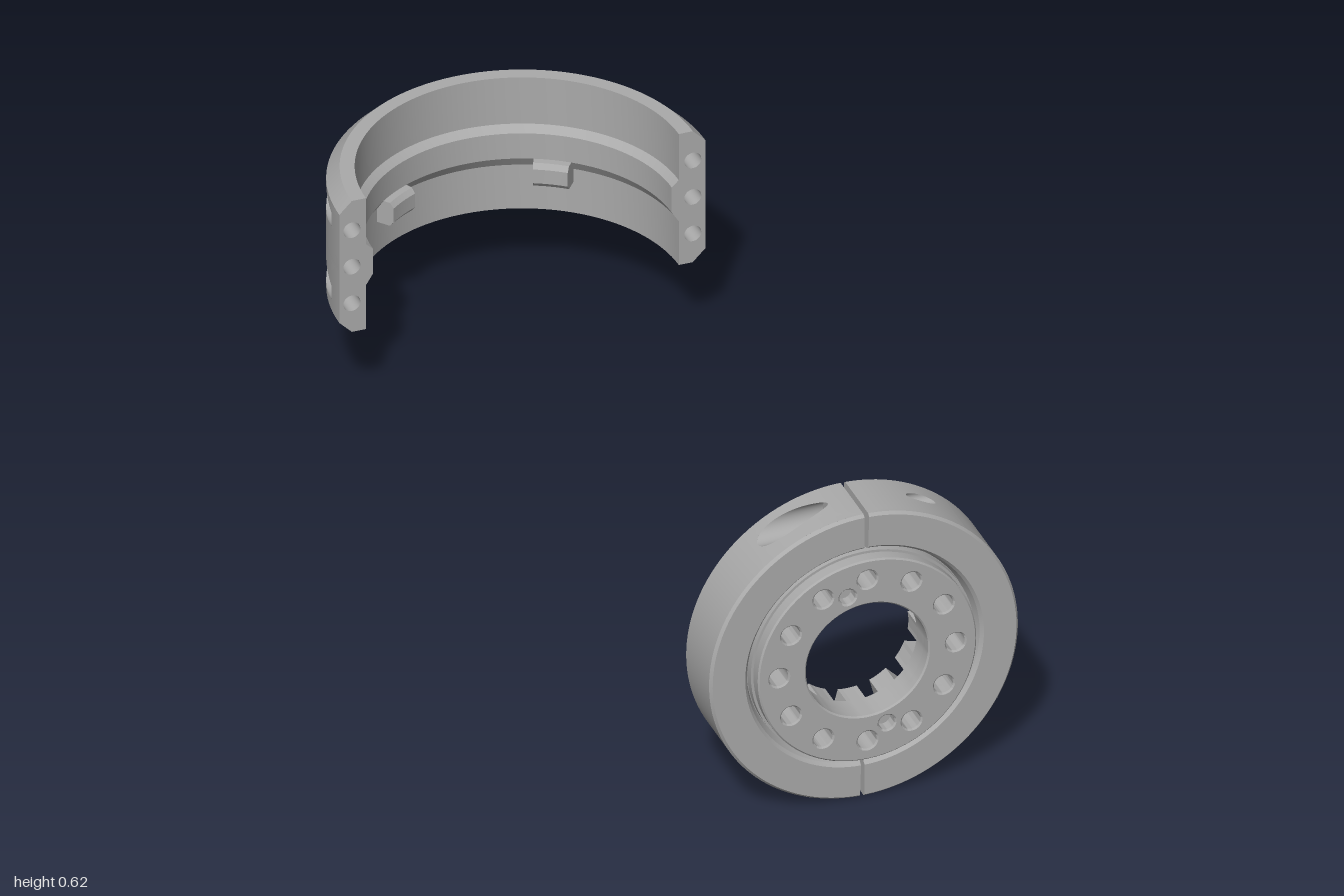
import * as THREE from 'three';
import { toCreasedNormals } from 'three/addons/utils/BufferGeometryUtils.js';

const steel = new THREE.MeshStandardMaterial({ color: 0xaaaaaa, side: THREE.DoubleSide });
steel.name = 'grey steel';
const TAU = Math.PI * 2;

function add(group, name, geometry) {
  const mesh = new THREE.Mesh(geometry, steel);
  mesh.name = name;
  group.add(mesh);
  return mesh;
}

// Surface from a rule f(u, v) -> [x, y, z]
function surface(nu, nv, f) {
  const pos = [], idx = [];
  for (let i = 0; i <= nu; i++) for (let j = 0; j <= nv; j++) pos.push(...f(i / nu, j / nv));
  for (let i = 0; i < nu; i++) for (let j = 0; j < nv; j++) {
    const a = i * (nv + 1) + j, b = a + nv + 1;
    idx.push(a, b, a + 1, b, b + 1, a + 1);
  }
  const g = new THREE.BufferGeometry();
  g.setAttribute('position', new THREE.Float32BufferAttribute(pos, 3));
  g.setIndex(idx);
  g.computeVertexNormals();
  return g;
}

const polar = (r, a, h) => [r * Math.cos(a), r * Math.sin(a), h];
const lerp = THREE.MathUtils.lerp;

function circlePath(x, y, r) {
  return new THREE.Path().absarc(x, y, r, 0, TAU, true);
}

// Conical or cylindrical band swept about the local z axis
function band(p, q, a0, a1) {
  return surface(Math.ceil(Math.abs(a1 - a0) / 0.05), 1, (u, v) =>
    polar(lerp(p[0], q[0], v), lerp(a0, a1, u), lerp(p[1], q[1], v)));
}

// Part ring with flat ends. Each end lists its screw holes:
// h height, r0 radius of the hole axis, bore, c counterbore radius, seat depth, blind depth
function partRing(name, profile, a0, a1, ends = [[], []]) {
  const group = new THREE.Group();
  group.name = name;
  const R = Math.max(...profile.map(p => p[0]));
  const W = 0.7;
  const cut = ends.map(e => (e.some(o => !o.blind) ? W : 0));

  profile.forEach((p, i) => {
    const q = profile[(i + 1) % profile.length];
    const outer = p[0] === R && q[0] === R;
    add(group, 'ringFace', band(p, q, a0 + (outer ? cut[0] : 0), a1 - (outer ? cut[1] : 0)));
  });
  const hs = profile.filter(p => p[0] === R).map(p => p[1]);
  const lo = Math.min(...hs), hi = Math.max(...hs);

  ends.forEach((holes, k) => {
    const alpha = k ? a1 : a0, s = k ? -1 : 1;
    // Point at radius p, depth t behind the end face
    const at = (p, t, h) => [
      p * Math.cos(alpha) - s * t * Math.sin(alpha),
      p * Math.sin(alpha) + s * t * Math.cos(alpha), h];

    // End face with hole openings
    const face = new THREE.Shape(profile.map(p => new THREE.Vector2(p[0], p[1])));
    holes.forEach(o => face.holes.push(circlePath(o.r0, o.h, o.bore)));
    const end = add(group, 'endFace', new THREE.ShapeGeometry(face, 16));
    end.applyMatrix4(new THREE.Matrix4().makeBasis(
      new THREE.Vector3(Math.cos(alpha), Math.sin(alpha), 0),
      new THREE.Vector3(0, 0, 1),
      new THREE.Vector3(Math.sin(alpha), -Math.cos(alpha), 0)));

    const through = holes.filter(o => !o.blind);
    holes.forEach(o => {
      const rim = (r, u) => [
        Math.min(o.r0 + r * Math.cos(u * TAU), Math.sqrt(R * R - o.seat * o.seat)),
        o.h + r * Math.sin(u * TAU)];
      const tube = (r, t0, t1) => surface(48, 1, (u, v) => {
        const [p, h] = rim(r, u);
        return at(p, lerp(t0, t1(p), v), h);
      });
      if (o.blind) {
        add(group, 'blindHoleWall', tube(o.bore, 0, () => o.blind));
        add(group, 'blindHoleFloor', surface(32, 1, (u, v) => {
          const [p, h] = rim(o.bore * v, u);
          return at(p, o.blind, h);
        }));
        return;
      }
      if (o.seat > 0) {
        add(group, 'screwBore', tube(o.bore, 0, () => o.seat));
        add(group, 'screwSeat', surface(48, 1, (u, v) => {
          const [p, h] = rim(lerp(o.bore, o.c, v), u);
          return at(p, o.seat, h);
        }));
      }
      add(group, 'screwPocket', tube(o.c, o.seat, p => Math.sqrt(R * R - p * p)));

      // Outer skin around the pocket mouth
      const i = through.indexOf(o), n = through.length;
      const c0 = lerp(lo, hi, i / n), c1 = lerp(lo, hi, (i + 1) / n);
      add(group, 'outerSkin', surface(64, 6, (u, v) => {
        const [p, h] = rim(o.c, u);
        const x = Math.cos(u * TAU), y = Math.sin(u * TAU), m = Math.max(Math.abs(x), Math.abs(y));
        const da = lerp(Math.acos(p / R), W / 2 - (W / 2) * x / m, v);
        return polar(R, alpha + s * da, lerp(h, (c0 + c1) / 2 + (c1 - c0) / 2 * y / m, v));
      }));
    });
  });
  return group;
}

function extrude(shape, z0, z1, bevel = 0) {
  const g = new THREE.ExtrudeGeometry(shape, {
    depth: z1 - z0 - bevel, curveSegments: 40, bevelEnabled: bevel > 0,
    bevelThickness: bevel, bevelSize: bevel, bevelOffset: -bevel, bevelSegments: 1,
  });
  g.translate(0, 0, z0);
  return toCreasedNormals(g, 0.5);
}

// Round hub plate with bore, bolt circle and slotted back
function hubPlate() {
  const hub = new THREE.Group();
  hub.name = 'hubPlate';
  const bolts = Array.from({ length: 12 }, (_, i) => i * TAU / 12);
  const disc = (r, pins) => {
    const s = new THREE.Shape().absarc(0, 0, r, 0, TAU, false);
    s.holes.push(circlePath(0, 0, 0.122));
    bolts.forEach(a => s.holes.push(circlePath(0.176 * Math.cos(a), 0.176 * Math.sin(a), 0.019)));
    if (pins) [105, 285].forEach(d => {
      const a = d * Math.PI / 180;
      s.holes.push(circlePath(0.151 * Math.cos(a), 0.151 * Math.sin(a), 0.016));
    });
    return s;
  };
  add(hub, 'hubFace', extrude(disc(0.218, true), 0.975, 1.0, 0.003));
  add(hub, 'hubBody', extrude(disc(0.223, false), 0.94, 0.975));

  // Wedge pads with counterbores, separated by radial slots
  const half = r => Math.PI / 12 - Math.asin(0.013 / r);
  const wedge = new THREE.Shape();
  wedge.absarc(0, 0, 0.222, -half(0.222), half(0.222), false);
  wedge.absarc(0, 0, 0.122, half(0.122), -half(0.122), true);
  wedge.closePath();
  wedge.holes.push(circlePath(0.176, 0, 0.027));
  const pad = extrude(wedge, 0.895, 0.94);
  bolts.forEach(a => { add(hub, 'wedgePad', pad).rotation.z = a; });
  return hub;
}

export function createModel() {
  const model = new THREE.Group();
  model.name = 'clampAssembly';

  // Front clamp: two identical collar halves around the hub
  const clamp = new THREE.Group();
  clamp.name = 'frontClamp';
  clamp.position.set(0.055, 0.313, 0);
  const collar = [[0.22, 0.861], [0.226, 0.855], [0.303, 0.855], [0.308, 0.861], [0.308, 0.979],
    [0.303, 0.985], [0.238, 0.985], [0.232, 0.978], [0.224, 0.955], [0.22, 0.955]];
  for (const turn of [0, Math.PI]) {
    const halfCollar = partRing(turn ? 'leftCollarHalf' : 'rightCollarHalf', collar,
      Math.PI / 2, Math.PI * 1.5 - 0.03, [
        [{ h: 0.915, r0: 0.275, bore: 0.014, c: 0.0295, seat: 0.045 }],
        [{ h: 0.915, r0: 0.277, bore: 0.014, c: 0.014, seat: 0 }],
      ]);
    halfCollar.rotation.z = turn;
    clamp.add(halfCollar);
  }
  clamp.add(hubPlate());
  model.add(clamp);

  // Rear half shell with inner rib, screw pockets and dowel holes
  const rear = new THREE.Group();
  rear.name = 'rearHalfShell';
  rear.rotation.x = -Math.PI / 2;
  rear.position.z = -0.637;
  const shell = [[0.34, 0.17], [0.365, 0.195], [0.365, 0.432], [0.34, 0.457], [0.312, 0.457],
    [0.312, 0.356], [0.298, 0.343], [0.298, 0.288], [0.312, 0.266], [0.312, 0.17]];
  const screw = h => ({ h, r0: 0.34, bore: 0.017, c: 0.026, seat: 0.05 });
  const holes = [screw(0.233), screw(0.393), { h: 0.313, r0: 0.34, bore: 0.017, seat: 0, blind: 0.06 }];
  rear.add(partRing('shell', shell, 0, Math.PI, [holes, holes]));

  // Locating pads under the rib
  const padProfile = [[0.276, 0.248], [0.276, 0.278], [0.284, 0.288], [0.314, 0.288], [0.314, 0.238], [0.284, 0.238]];
  for (const side of [-1, 1]) {
    const a = Math.PI / 2 + side * 0.56;
    rear.add(partRing('locatingPad', padProfile, a - 0.12, a + 0.12));
  }
  model.add(rear);
  return model;
}
